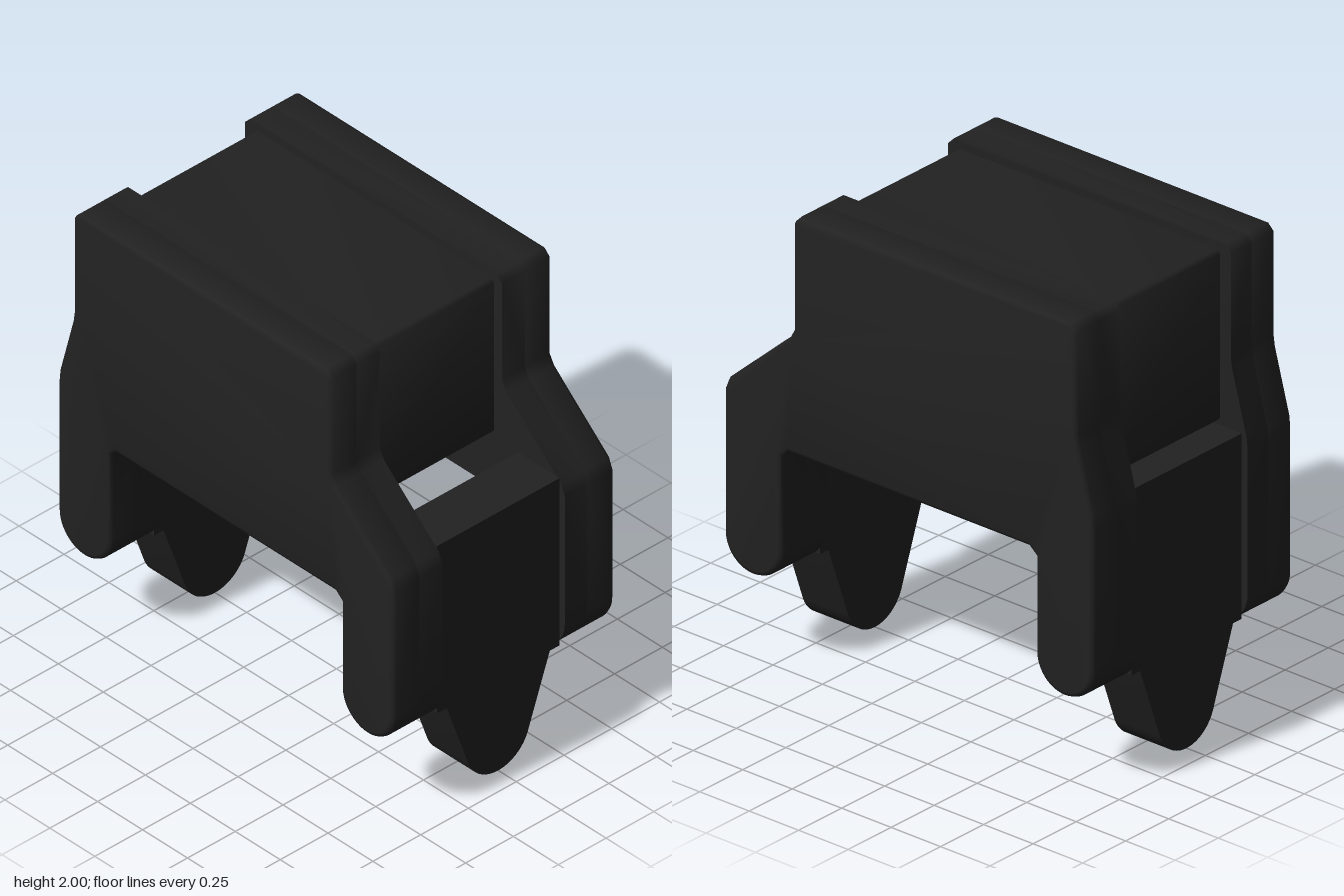
import * as THREE from 'three';
import { toCreasedNormals } from 'three/addons/utils/BufferGeometryUtils.js';

const material = new THREE.MeshStandardMaterial({ color: 0x222222 });

function addExtrusion(parent, name, shape, depth, options = {}) {
  const geometry = new THREE.ExtrudeGeometry(shape, {
    depth, bevelEnabled: false, curveSegments: 20, ...options,
  });
  const mesh = new THREE.Mesh(toCreasedNormals(geometry, 0.9), material);
  mesh.name = name;
  parent.add(mesh);
  return mesh;
}

function trace(shape, points) {
  points.forEach(([x, y]) => shape.lineTo(x, y));
}

// Outline of a side plate: wide body on two round-ended feet
function plateShape() {
  const s = new THREE.Shape();
  s.moveTo(-0.82, 2);
  trace(s, [[-0.85, 1.97], [-0.85, 1.53], [-0.857, 1.48], [-0.93, 1.21], [-0.935, 1.16], [-0.935, 0.545]]);
  s.absarc(-0.79, 0.545, 0.145, Math.PI, Math.PI * 2, false);
  trace(s, [[-0.645, 0.95], [-0.61, 0.98], [0.605, 0.98], [0.64, 0.95], [0.64, 0.545]]);
  s.absarc(0.785, 0.545, 0.145, Math.PI, Math.PI * 2, false);
  trace(s, [[0.93, 1.15], [0.91, 1.2], [0.605, 1.47], [0.58, 1.515], [0.58, 1.97], [0.55, 2]]);
  s.closePath();
  return s;
}

// Outline of a leg: square shoulders narrowing to a round tip
function legShape() {
  const tilt = 0.35, r = 0.165;
  const s = new THREE.Shape();
  s.moveTo(0.32, 1.22);
  trace(s, [[-0.32, 1.22], [-0.32, 0.43], [-0.27, 0.43]]);
  s.absarc(0, r, r, Math.PI + tilt, Math.PI * 2 - tilt, false);
  trace(s, [[0.27, 0.43], [0.32, 0.43]]);
  s.closePath();
  return s;
}

// Rectangle with cut corners
function cutRectangle(x0, x1, y0, y1, c) {
  const s = new THREE.Shape();
  s.moveTo(x0 + c, y0);
  trace(s, [[x1 - c, y0], [x1, y0 + c], [x1, y1 - c], [x1 - c, y1],
    [x0 + c, y1], [x0, y1 - c], [x0, y0 + c]]);
  s.closePath();
  return s;
}

export function createModel() {
  const model = new THREE.Group();
  model.name = 'connectorBlock';

  // Side plates: flat inner half, chamfered outer half
  const bevel = 0.02;
  for (const name of ['frontPlate', 'backPlate']) {
    const plate = new THREE.Group();
    plate.name = name;
    addExtrusion(plate, name + 'Inner', plateShape(), 0.12).position.z = 0.32;
    addExtrusion(plate, name + 'Outer', plateShape(), 0.12, {
      bevelEnabled: true, bevelSize: bevel, bevelThickness: bevel,
      bevelOffset: -bevel, bevelSegments: 2,
    }).position.z = 0.44;
    if (name === 'backPlate') {
      // Mirror front to back while keeping the outline's left and right
      plate.scale.z = -1;
    }
    model.add(plate);
  }

  // Block held between the plates
  addExtrusion(model, 'centreBlock', cutRectangle(-0.795, 0.535, 1.235, 1.965, 0.015), 0.64)
    .position.z = -0.32;

  // Tapered legs between the plates' feet
  for (const [name, x] of [['rightLeg', -0.905], ['leftLeg', 0.67]]) {
    const leg = addExtrusion(model, name, legShape(), 0.23);
    leg.rotation.y = Math.PI / 2;
    leg.position.x = x;
  }
  return model;
}
